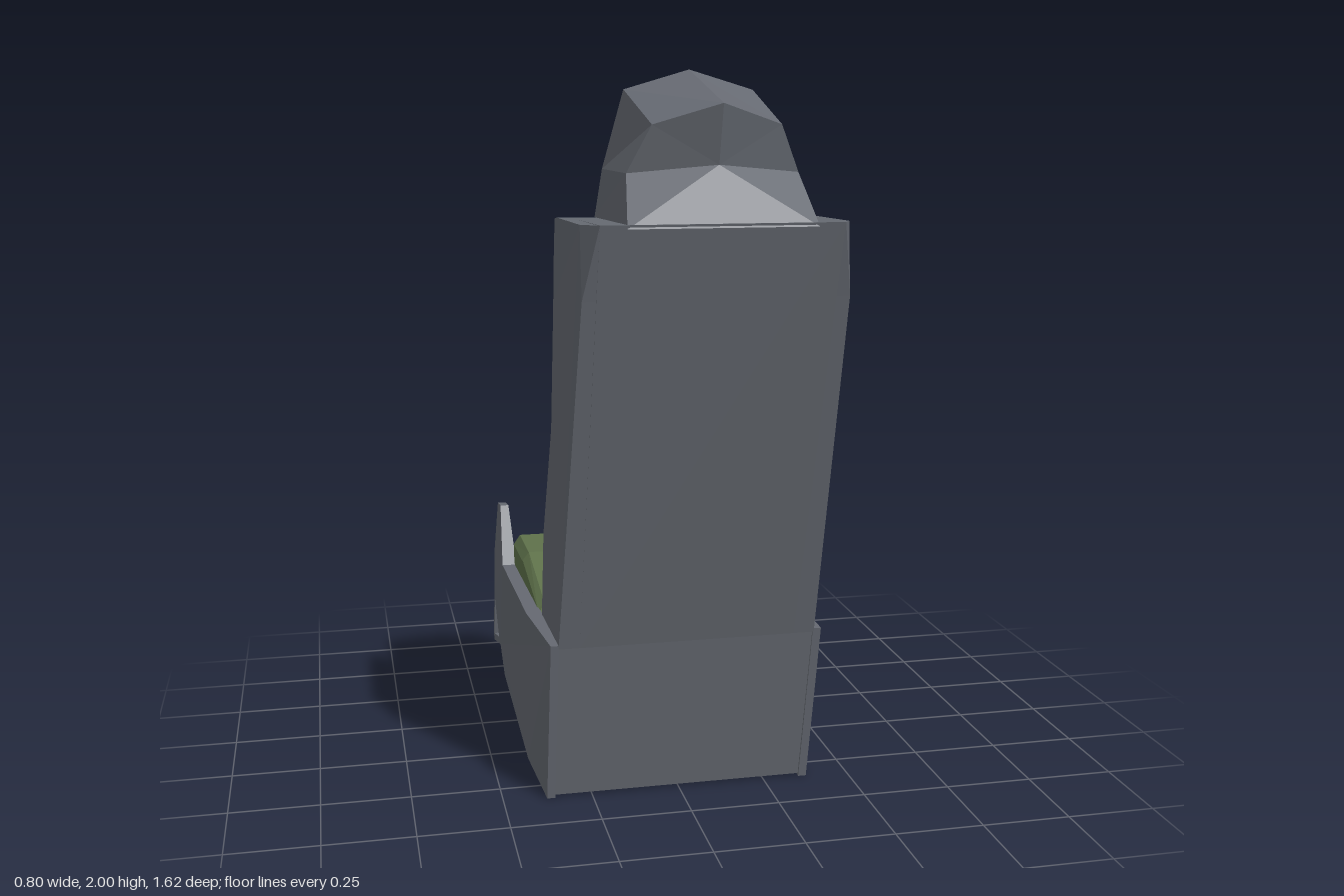
import * as THREE from 'three';

const mat = (color) => new THREE.MeshStandardMaterial({ color, flatShading: true, side: THREE.DoubleSide });

// Side profile of [z, y] points extruded across x from x0 to x1
function sideExtrude(profile, x0, x1, hole) {
  const toVec = (p) => new THREE.Vector2(p[0], p[1]);
  const shape = new THREE.Shape(profile.map(toVec));
  if (hole) shape.holes.push(new THREE.Path(hole.map(toVec)));
  const g = new THREE.ExtrudeGeometry(shape, { depth: x1 - x0, bevelEnabled: false });
  return g.rotateY(-Math.PI / 2).translate(x1, 0, 0);
}

// Move every vertex by a rule
function reshape(g, rule) {
  const p = g.attributes.position, v = new THREE.Vector3();
  for (let i = 0; i < p.count; i++) {
    rule(v.fromBufferAttribute(p, i));
    p.setXYZ(i, v.x, v.y, v.z);
  }
  g.computeVertexNormals();
  return g;
}

// Closed skin through rings of equal point count, with capped ends
function loft(rings) {
  const n = rings[0].length, tris = [];
  for (let r = 0; r < rings.length - 1; r++)
    for (let i = 0; i < n; i++) {
      const j = (i + 1) % n, a = rings[r], b = rings[r + 1];
      tris.push([a[i], a[j], b[j]], [a[i], b[j], b[i]]);
    }
  const cap = (ring, flip) => {
    const c = [0, 1, 2].map((k) => ring.reduce((s, p) => s + p[k], 0) / n);
    ring.forEach((p, i) => {
      const q = ring[(i + 1) % n];
      tris.push(flip ? [c, q, p] : [c, p, q]);
    });
  };
  cap(rings[0], true);
  cap(rings[rings.length - 1], false);
  // Turn the faces outwards if the enclosed volume is negative
  const V = (p) => new THREE.Vector3(...p);
  const volume = tris.reduce((s, t) => s + V(t[0]).dot(V(t[1]).cross(V(t[2]))), 0);
  if (volume < 0) tris.forEach((t) => t.reverse());
  const g = new THREE.BufferGeometry();
  g.setAttribute('position', new THREE.Float32BufferAttribute(tris.flat(2), 3));
  g.computeVertexNormals();
  return g;
}

// Half outline from centre outwards, mirrored to a full one
const mirrored = (half) => [
  ...half.filter((p) => p[0] > 0).reverse().map(([x, y, z]) => [-x, y, z]), ...half];

export function createModel() {
  const model = new THREE.Group();
  const grey = mat(0x666a72), green = mat(0x5f724b), tan = mat(0xbb9d5e);
  const add = (name, geometry, material, parent = model) => {
    const m = new THREE.Mesh(geometry, material);
    m.name = name;
    parent.add(m);
    return m;
  };

  // Seat base behind the handle recess
  add('seatBase', sideExtrude([[0.335, 0.012], [0.445, 0.488], [0.11, 0.472], [-0.33, 0.45], [-0.33, 0.06]],
    -0.36, 0.36), grey);

  // Front of the base with the open recess
  const front = new THREE.Shape([[-0.36, 0.06], [0.36, 0.06], [0.36, 0.445], [0.17, 0.445], [0.09, 0.33],
    [-0.09, 0.33], [-0.17, 0.445], [-0.36, 0.445]].map((p) => new THREE.Vector2(...p)));
  const frontGeo = new THREE.ExtrudeGeometry(front, { depth: 0.16, bevelEnabled: false }).translate(0, 0, -0.49);
  add('baseFront', reshape(frontGeo, (v) => {
    if (v.y < 0.1) v.y = 0.07 - (v.z + 0.49) * 0.07;
  }), grey);

  // Side panels with leg guards and their open struts
  const panel = [[0.34, 0.005], [0.45, 0.49], [0.11, 0.475], [-0.49, 0.445], [-0.59, 0.62], [-0.67, 0.61],
    [-0.73, 0.43], [-0.76, 0.28], [-0.81, 0.11], [-0.79, 0.09], [-0.6, 0.138], [-0.49, 0.07], [0.1, 0.025]];
  const gap = [[-0.75, 0.255], [-0.785, 0.115], [-0.64, 0.15]];
  for (const s of [1, -1]) {
    const g = sideExtrude(panel, s > 0 ? 0.355 : -0.4, s > 0 ? 0.4 : -0.355, gap);
    add(s > 0 ? 'leftSidePanel' : 'rightSidePanel', reshape(g, (v) => {
      const outer = Math.abs(v.x) > 0.38;
      if (v.z > 0.3 && outer) v.x = s * 0.378;
      if (v.y > 0.6) v.x = s * (outer ? 0.392 : 0.366);
    }), grey);
  }

  // Backrest shell: recessed centre and two side flanges
  const back = [[0.45, 0.48], [0.75, 1.45], [0.81, 1.635], [0.73, 1.632]];
  add('backrestCore', sideExtrude([[0.45, 0.48], [0.81, 1.635], [0.38, 1.625], [0.35, 1.4], [0.33, 1.05],
    [0.19, 0.72], [0.16, 0.47]], -0.3, 0.3), grey);
  const flange = [...back, [0.36, 1.625], [0.325, 1.62], [0.29, 1.47], [0.29, 1.4], [0.275, 1.05],
    [0.145, 0.72], [0.13, 0.475]];
  for (const s of [1, -1]) {
    const g = sideExtrude(flange, s > 0 ? 0.29 : -0.36, s > 0 ? 0.36 : -0.29);
    add(s > 0 ? 'leftBackFlange' : 'rightBackFlange', reshape(g, (v) => {
      if (Math.abs(v.x) < 0.3) return;
      const chamfered = v.y > 1.6 && v.z > 0.78;
      v.x = s * (chamfered ? 0.3 : 0.357 - 0.022 * Math.min(1, (v.y - 0.48) / 0.97));
    }), grey);
  }

  // Head housing
  add('headHousing', loft([
    mirrored([[0, 2, 0.43], [0.17, 1.95, 0.425], [0.22, 1.75, 0.39], [0.235, 1.625, 0.36]]),
    mirrored([[0, 1.915, 0.79], [0.16, 1.865, 0.73], [0.215, 1.75, 0.69], [0.235, 1.625, 0.81]]),
  ]), grey);

  // Back cushion, hollowed slightly along its middle: [y, front z, rear z, half width]
  const hollow = ([y, zf, zr, w]) => mirrored([
    [0, y, zf + 0.025], [w * 0.45, y, zf + 0.015], [w * 0.86, y, zf], [w, y, zf + 0.035], [w, y, zr]]);
  add('backCushion', loft([
    [0.48, 0.12, 0.2, 0.27], [0.51, 0.09, 0.2, 0.3], [0.79, 0.09, 0.24, 0.31], [1.1, 0.215, 0.35, 0.31],
    [1.36, 0.25, 0.37, 0.3], [1.4, 0.285, 0.37, 0.27],
  ].map(hollow)), green);

  // Head pillow, wrapping forward at its ends
  const pillowRing = ([y, zf, w]) => mirrored([
    [0, y, zf + 0.035], [w * 0.5, y, zf + 0.025], [w * 0.9, y, zf], [w, y, zf + 0.02], [w, y, 0.39]]);
  add('headPillow', loft([
    [1.44, 0.325, 0.23], [1.46, 0.3, 0.255], [1.56, 0.305, 0.265], [1.61, 0.335, 0.25],
  ].map(pillowRing)), green);

  // Seat cushion: rear wedge and two thigh pads around the recess
  add('seatCushion', loft([
    [0.1, 0.465, 0.47, 0.48, 0.33], [0.06, 0.46, 0.47, 0.488, 0.34], [-0.28, 0.445, 0.52, 0.545, 0.34],
    [-0.33, 0.44, 0.47, 0.5, 0.34],
  ].map(([z, y0, y1, y2, w]) => mirrored([[0, y2, z], [w, y2, z], [0.36, y1, z], [0.36, y0, z]]))), green);
  for (const s of [1, -1]) {
    const pad = (z, a, b, y0, y1, y2) => [[a, y0, z], [a, y1, z], [a + 0.03, y2, z], [b - 0.02, y2, z],
      [b, y1, z], [b, y0, z]].map(([x, y, zz]) => [s * x, y, zz]);
    add(s > 0 ? 'leftThighPad' : 'rightThighPad', loft([
      pad(-0.27, 0.17, 0.36, 0.445, 0.515, 0.543), pad(-0.505, 0.17, 0.36, 0.44, 0.51, 0.54),
      pad(-0.535, 0.19, 0.335, 0.45, 0.48, 0.505)]), green);
  }

  // Pull handle: outer loop, middle bar and stem on a grey post
  const handle = new THREE.Group();
  handle.name = 'pullHandle';
  model.add(handle);
  const bar = (name, points, r, material, closed = false) => {
    const path = new THREE.CurvePath();
    const pts = points.map((p) => new THREE.Vector3(...p));
    if (closed) pts.push(pts[0]);
    for (let i = 1; i < pts.length; i++) path.add(new THREE.LineCurve3(pts[i - 1], pts[i]));
    path.curves.forEach((c) => add(name, new THREE.TubeGeometry(c, 1, r, 6), material, handle));
    pts.forEach((p) => add(name + 'Joint', new THREE.IcosahedronGeometry(r, 0).translate(p.x, p.y, p.z),
      material, handle));
  };
  bar('handleLoop', [[-0.025, 0.475, -0.4], [-0.075, 0.555, -0.375], [-0.05, 0.635, -0.35],
    [0.05, 0.635, -0.35], [0.075, 0.555, -0.375], [0.025, 0.475, -0.4]], 0.01, tan, true);
  bar('handleMiddleBar', [[0, 0.475, -0.4], [0, 0.635, -0.35]], 0.008, tan);
  bar('handleStem', [[0, 0.48, -0.4], [0, 0.41, -0.415]], 0.02, tan);
  bar('handlePost', [[0, 0.41, -0.415], [0, 0.33, -0.425]], 0.024, grey);
  return model;
}
